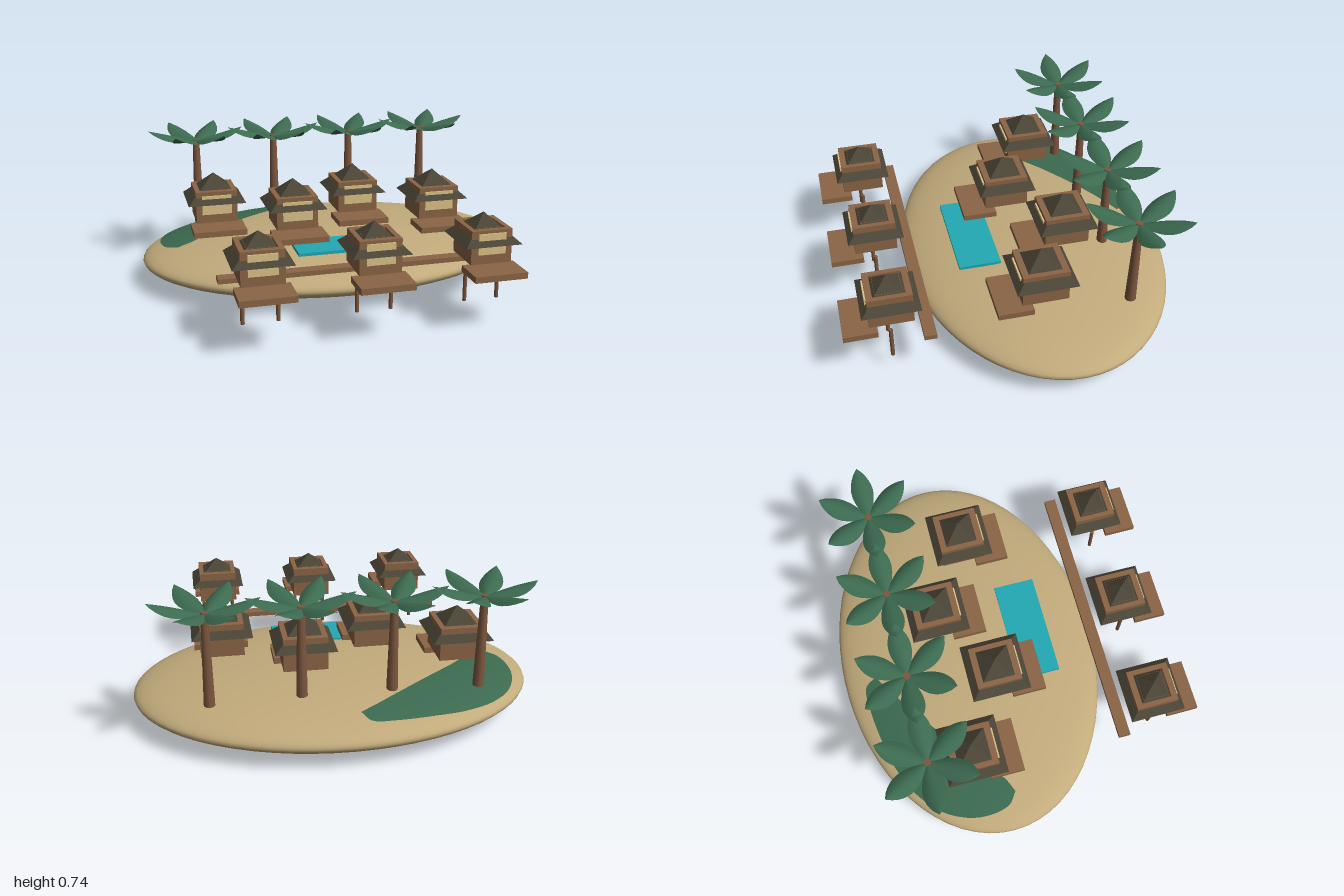
import * as THREE from 'three';

const mat = (color, side = THREE.FrontSide) => new THREE.MeshStandardMaterial({ color, side });
const SAND = mat(0xc2ab7c), WOOD = mat(0x8b6545), TRUNK = mat(0x7d573f), ROOF = mat(0x4b4537);
const WINDOW = mat(0xdcc388), WATER = mat(0x22a9b4);
const LEAF = mat(0x3c6a50, THREE.DoubleSide), GRASS = mat(0x3c6a50, THREE.DoubleSide);

const ISLAND = { y: 0.123, z: -0.19, rx: 1, ry: 0.123, rz: 0.68 };

function add(parent, name, geometry, material, x = 0, y = 0, z = 0) {
  const mesh = new THREE.Mesh(geometry, material);
  mesh.name = name;
  mesh.position.set(x, y, z);
  parent.add(mesh);
  return mesh;
}
const box = (parent, name, m, w, h, d, x, y, z) => add(parent, name, new THREE.BoxGeometry(w, h, d), m, x, y, z);

// Grid surface from a function (u, v) -> [x, y, z]
function surface(nu, nv, fn) {
  const pos = [], index = [];
  for (let i = 0; i <= nu; i++)
    for (let j = 0; j <= nv; j++) {
      pos.push(...fn(i / nu, j / nv));
      if (i < nu && j < nv) {
        const a = i * (nv + 1) + j, b = a + nv + 1;
        index.push(a, a + 1, b, b, a + 1, b + 1);
      }
    }
  const g = new THREE.BufferGeometry();
  g.setAttribute('position', new THREE.Float32BufferAttribute(pos, 3));
  g.setIndex(index);
  g.computeVertexNormals();
  return g;
}

// Height of the island's upper surface
function islandTop(x, z) {
  const k = 1 - (x / ISLAND.rx) ** 2 - ((z - ISLAND.z) / ISLAND.rz) ** 2;
  return ISLAND.y + ISLAND.ry * Math.sqrt(Math.max(0, k));
}

// Crescent of grass lying on the sand, between an inner and an outer curve
function grassGeometry() {
  const curve = (pts) => new THREE.CatmullRomCurve3(pts.map(([x, z]) => new THREE.Vector3(x, 0, z)));
  const outer = curve([[-0.82, -0.14], [-0.88, -0.19], [-0.9, -0.34], [-0.84, -0.5], [-0.72, -0.62],
    [-0.56, -0.7], [-0.4, -0.74], [-0.21, -0.765], [-0.09, -0.76], [-0.05, -0.7]]);
  const inner = curve([[-0.82, -0.14], [-0.74, -0.18], [-0.6, -0.31], [-0.38, -0.48], [-0.15, -0.64], [-0.05, -0.7]]);
  return surface(48, 14, (u, v) => {
    const p = outer.getPoint(u).lerp(inner.getPoint(u), 1 - v);
    return [p.x, islandTop(p.x, p.z) + 0.005, p.z];
  });
}

// Arched leaf along +x, narrow at the base and pointed at the tip
function frondGeometry() {
  return surface(12, 6, (t, v) => {
    const s = v * 2 - 1;
    const w = 0.014 * (1 - t) + 0.05 * Math.sin(Math.PI * Math.pow(t, 1.35)) ** 0.8;
    return [0.255 * t, 0.065 * t - 0.45 * w * s * s, w * s];
  });
}

function palm(x, z, frond) {
  const g = new THREE.Group();
  g.name = 'palm';
  g.position.set(x, 0, z);
  add(g, 'trunk', new THREE.CylinderGeometry(0.018, 0.028, 0.47, 10), TRUNK, 0, 0.445, 0);
  for (let i = 0; i < 6; i++) add(g, 'frond', frond, LEAF, 0, 0.672, 0).rotation.y = i * Math.PI / 3;
  return g;
}

// Square frame standing on y = 0
function frameGeometry(w, d, hole, h) {
  const rect = (P, a, b) => new P([[-a, -b], [a, -b], [a, b], [-a, b]].map(([x, y]) => new THREE.Vector2(x, y)));
  const shape = rect(THREE.Shape, w / 2, d / 2);
  shape.holes.push(rect(THREE.Path, hole / 2, hole / 2));
  return new THREE.ExtrudeGeometry(shape, { depth: h, bevelEnabled: false }).rotateX(-Math.PI / 2);
}

// Bungalow: walls rising through a pyramid roof, front window and deck
function hut(name, x, z, o) {
  const g = new THREE.Group();
  g.name = name;
  g.position.set(x, 0, z);
  const base = 0.3, h = o.top - base;
  add(g, 'walls', frameGeometry(o.w, o.d, o.w * 0.76, h), WOOD, 0, base, 0);
  box(g, 'room', WOOD, o.w * 0.64, h, o.w * 0.64, 0, base + h / 2, 0);
  box(g, 'floor', WOOD, o.w * 0.8, 0.01, o.w * 0.8, 0, base + 0.005, 0);
  const roofH = o.apex - o.eave;
  const roof = new THREE.ConeGeometry(o.roof * Math.SQRT1_2, roofH, 4).rotateY(Math.PI / 4).toNonIndexed();
  roof.computeVertexNormals();
  add(g, 'roof', roof, ROOF, 0, o.eave + roofH / 2, 0);
  box(g, 'window', WINDOW, o.window, 0.1, 0.012, 0, 0.397, o.d / 2 + 0.002);
  box(g, 'deck', WOOD, o.deckW, 0.03, o.deckD, 0, 0.275, o.deckZ);
  return g;
}

export function createModel() {
  const model = new THREE.Group();
  model.name = 'islandResort';

  // Island, grass and pool
  const sand = new THREE.SphereGeometry(1, 64, 32).scale(ISLAND.rx, ISLAND.ry, ISLAND.rz);
  add(model, 'island', sand, SAND, 0, ISLAND.y, ISLAND.z);
  add(model, 'grass', grassGeometry(), GRASS);
  box(model, 'pool', WATER, 0.53, 0.016, 0.215, 0, 0.239, 0.143);

  // Row of palms
  const frond = frondGeometry();
  for (const x of [-0.665, -0.235, 0.2, 0.635]) model.add(palm(x, -0.525, frond));

  // Bungalows on the sand, staggered
  const land = { w: 0.216, d: 0.228, top: 0.468, roof: 0.3, eave: 0.405, apex: 0.543, window: 0.155,
    deckW: 0.274, deckD: 0.175, deckZ: 0.15 };
  [-0.605, -0.22, 0.165, 0.55].forEach((x, i) => model.add(hut('beachHut', x, i % 2 ? -0.087 : -0.308, land)));

  // Bungalows over the water, on posts
  const sea = { w: 0.2, d: 0.212, top: 0.462, roof: 0.278, eave: 0.392, apex: 0.52, window: 0.135,
    deckW: 0.256, deckD: 0.163, deckZ: 0.15 };
  for (const x of [-0.533, 0, 0.533]) {
    const g = hut('waterHut', x, 0.642, sea);
    for (const s of [-1, 1])
      add(g, 'post', new THREE.CylinderGeometry(0.01, 0.01, 0.165, 8), TRUNK, s * 0.082, 0.168, 0.008);
    model.add(g);
  }

  // Walkway joining the water huts to the shore
  box(model, 'walkway', WOOD, 1.4, 0.024, 0.06, 0, 0.24, 0.475);
  return model;
}
